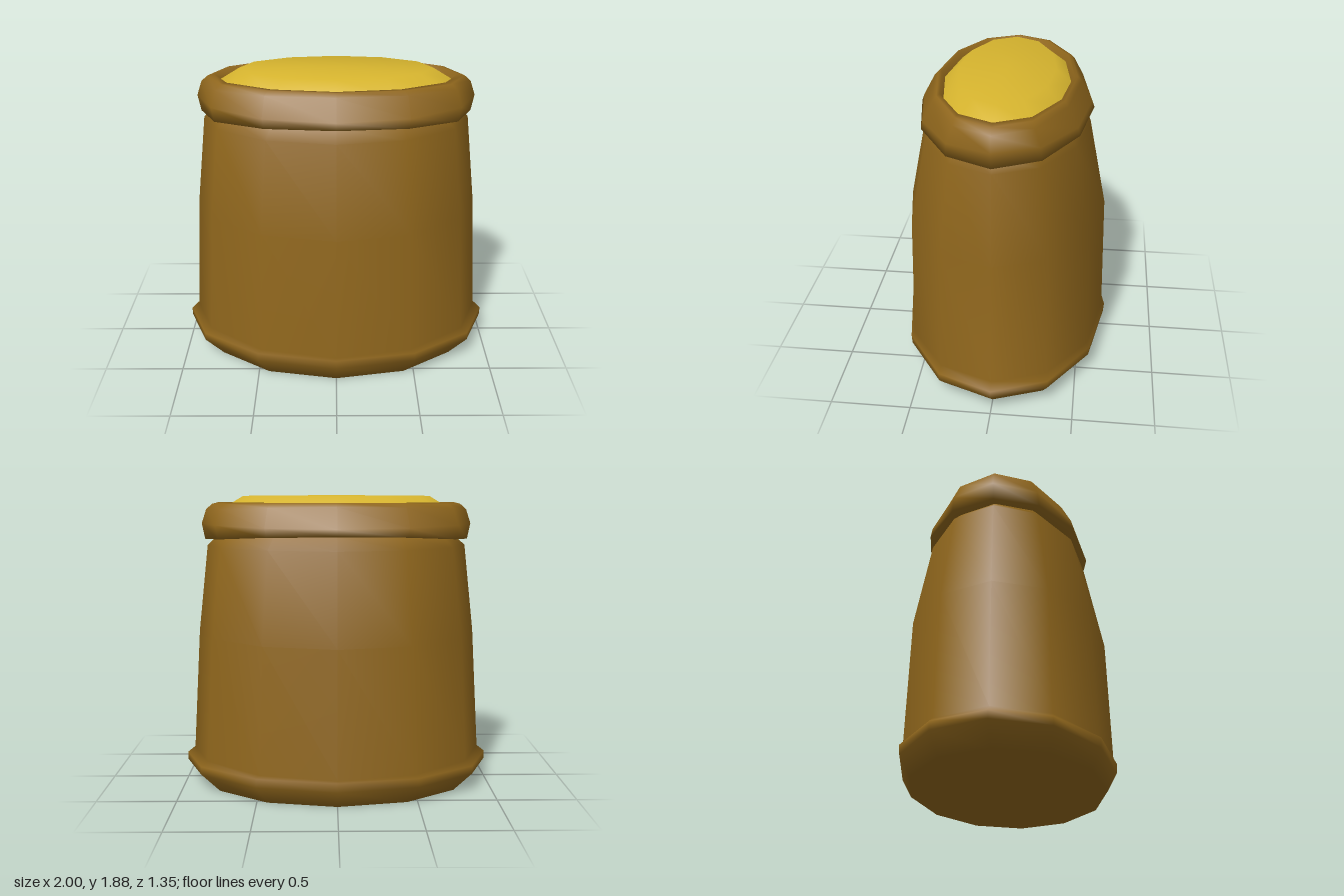
import * as THREE from 'three';
import { mergeVertices } from 'three/addons/utils/BufferGeometryUtils.js';

// Twelve-sided oval lathe. Each ring is [half width, y at the sides, half depth, y at front and back].
function ovalLathe(name, color, rings) {
  const profile = rings.map(([rx, y]) => new THREE.Vector2(rx, y));
  let geometry = new THREE.LatheGeometry(profile, 12);
  const pos = geometry.attributes.position;
  for (let i = 0; i < pos.count; i++) {
    const [rx, yx, rz, yz] = rings[i % rings.length];
    if (rx === 0) continue;
    const c = pos.getX(i) / rx;
    const s = pos.getZ(i) / rx;
    pos.setXYZ(i, c * rx, yz + (yx - yz) * c * c, s * rz);
  }
  // weld the seam so the shading runs smoothly all the way round
  geometry.deleteAttribute('uv');
  geometry.deleteAttribute('normal');
  geometry = mergeVertices(geometry, 1e-4);
  geometry.computeVertexNormals();
  const material = new THREE.MeshStandardMaterial({ color, side: THREE.DoubleSide });
  const mesh = new THREE.Mesh(geometry, material);
  mesh.name = name;
  return mesh;
}

export function createModel() {
  const group = new THREE.Group();
  group.name = 'grainSack';
  const cloth = 0x8f661c;
  const grain = 0xd6b42e;

  // Sack with a bulging foot and tapering shoulders
  group.add(ovalLathe('sackBody', cloth, [
    [0, 0, 0, 0],
    [0.87, 0, 0.61, 0],
    [1.0, 0.12, 0.67, 0.11],
    [1.0, 0.17, 0.675, 0.17],
    [0.95, 0.21, 0.655, 0.18],
    [0.9, 1.0, 0.635, 0.98],
    [0.835, 1.56, 0.52, 1.55],
    [0.77, 1.62, 0.45, 1.63],
  ]));

  // Rolled rim, drooping slightly at the sides
  group.add(ovalLathe('rolledRim', cloth, [
    [0.76, 1.62, 0.44, 1.63],
    [0.85, 1.6, 0.54, 1.64],
    [0.87, 1.7, 0.525, 1.68],
    [0.84, 1.79, 0.455, 1.81],
    [0.8, 1.825, 0.43, 1.835],
    [0.76, 1.835, 0.41, 1.835],
    [0.72, 1.78, 0.38, 1.78],
  ]));

  // Mound of grain
  group.add(ovalLathe('grainMound', grain, [
    [0.74, 1.79, 0.4, 1.79],
    [0.6, 1.875, 0.3, 1.875],
    [0, 1.88, 0, 1.88],
  ]));

  return group;
}
